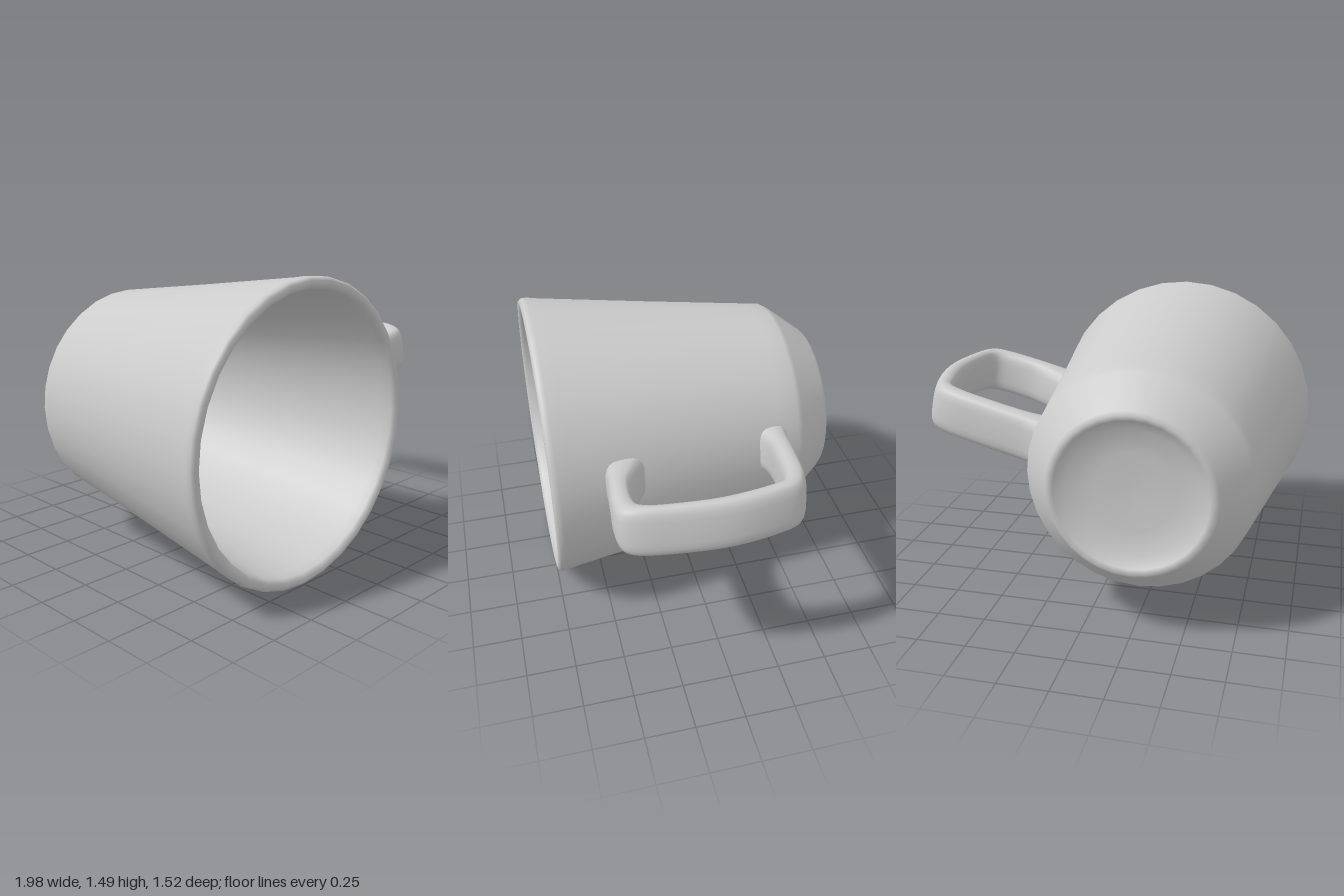
import * as THREE from 'three';

const AXIS_X = -0.25, AXIS_Y = 0.75;
const material = new THREE.MeshStandardMaterial({ color: 0xcccccc });

// Loft a rounded band between an outer and an inner edge line, each [radius, z]
function loftBand(outer, inner, halfWidth, steps, sides) {
  const curve = (pts) => new THREE.CatmullRomCurve3(
    pts.map(([u, z]) => new THREE.Vector3(u, 0, z)), false, 'centripetal');
  const outerCurve = curve(outer), innerCurve = curve(inner);
  const round = (v) => Math.sign(v) * Math.pow(Math.abs(v), 0.65);
  const positions = [], index = [];
  for (let s = 0; s <= steps; s++) {
    const o = outerCurve.getPoint(s / steps), i = innerCurve.getPoint(s / steps);
    const mid = o.clone().add(i).multiplyScalar(0.5);
    const half = o.clone().sub(i).multiplyScalar(0.5);
    for (let j = 0; j < sides; j++) {
      const t = (j / sides) * Math.PI * 2;
      const p = mid.clone().addScaledVector(half, round(Math.cos(t)));
      positions.push(p.x, halfWidth * round(Math.sin(t)), p.z);
      if (s === steps) continue;
      const k = (j + 1) % sides, a = s * sides, b = a + sides;
      index.push(a + j, a + k, b + j, a + k, b + k, b + j);
    }
  }
  const geometry = new THREE.BufferGeometry();
  geometry.setAttribute('position', new THREE.Float32BufferAttribute(positions, 3));
  geometry.setIndex(index);
  geometry.computeVertexNormals();
  return geometry;
}

export function createModel() {
  const group = new THREE.Group();
  group.name = 'mug';

  // Cup: recessed base, bevelled foot, tapered wall, rounded rim, hollow inside
  const profile = [
    [0, -0.69], [0.2, -0.695], [0.32, -0.715], [0.37, -0.755], [0.395, -0.763],
    [0.415, -0.745], [0.55, -0.575], [0.567, -0.545], [0.58, -0.45],
    [0.655, 0.1], [0.735, 0.66], [0.746, 0.72], [0.744, 0.745], [0.73, 0.758],
    [0.705, 0.758], [0.688, 0.74], [0.68, 0.69], [0.6, 0.1],
    [0.525, -0.44], [0.505, -0.53], [0.46, -0.59], [0.38, -0.615], [0, -0.62],
  ].map(([r, z]) => new THREE.Vector2(r, z));
  const cup = new THREE.Mesh(new THREE.LatheGeometry(profile, 32), material);
  cup.name = 'cup';
  cup.rotation.x = Math.PI / 2;
  cup.position.set(AXIS_X, AXIS_Y, 0);
  group.add(cup);

  // Handle: squared loop, flared where it joins the wall
  const outer = [
    [0.555, -0.485], [0.65, -0.46], [0.86, -0.43], [1.06, -0.395], [1.16, -0.345],
    [1.205, -0.25], [1.252, 0], [1.225, 0.3], [1.19, 0.45], [1.15, 0.505],
    [1.06, 0.52], [0.86, 0.505], [0.73, 0.495], [0.67, 0.495],
  ];
  const inner = [
    [0.56, -0.31], [0.65, -0.335], [0.86, -0.32], [1.02, -0.295], [1.1, -0.255],
    [1.125, -0.18], [1.16, 0.05], [1.15, 0.25], [1.13, 0.355], [1.1, 0.395],
    [1.04, 0.41], [0.88, 0.395], [0.77, 0.345], [0.655, 0.28],
  ];
  const handle = new THREE.Mesh(loftBand(outer, inner, 0.122, 52, 20), material);
  handle.name = 'handle';
  handle.rotation.z = THREE.MathUtils.degToRad(11.6);
  handle.position.set(AXIS_X, AXIS_Y, 0);
  group.add(handle);

  return group;
}
